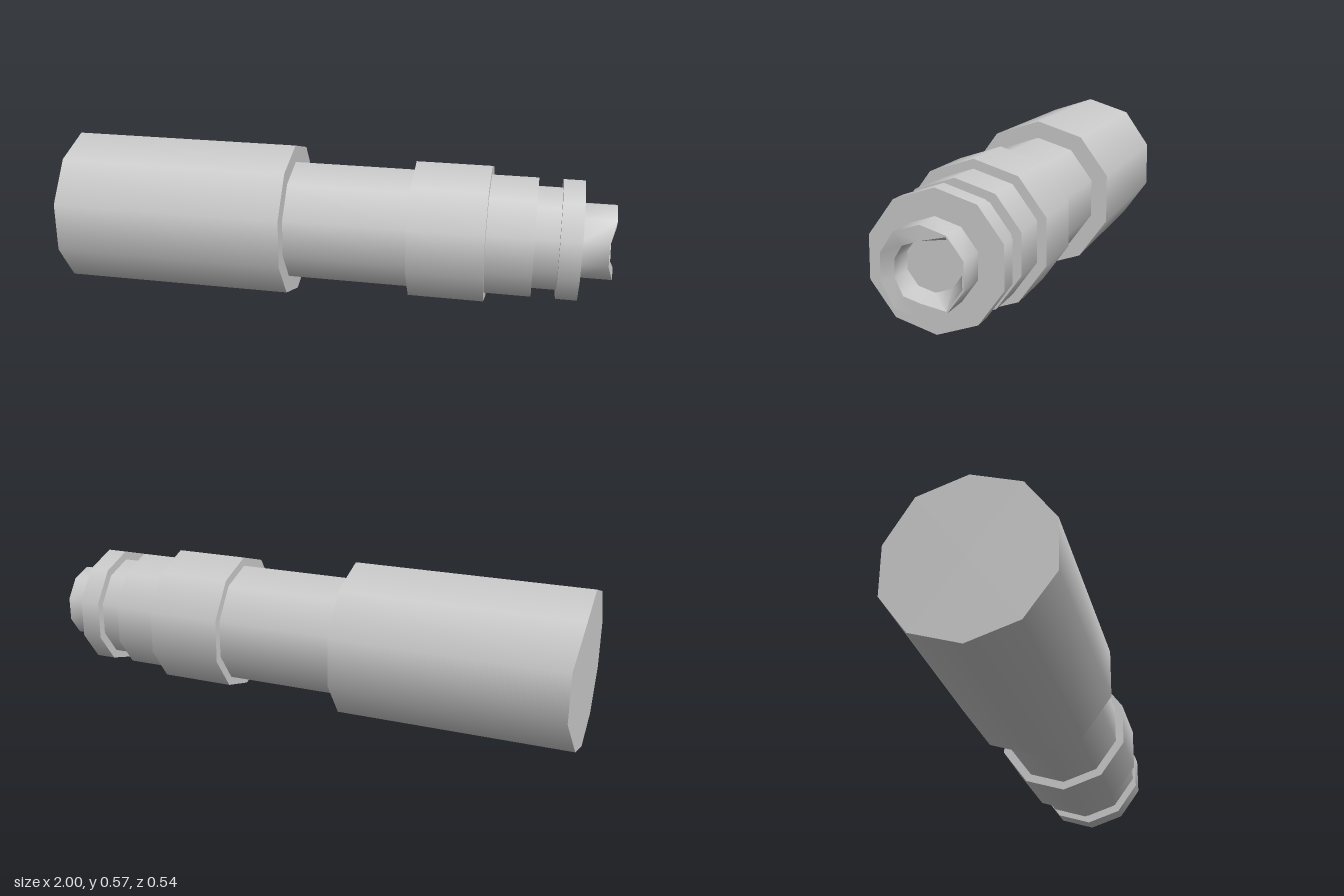
import * as THREE from 'three';
import { toCreasedNormals } from 'three/addons/utils/BufferGeometryUtils.js';

const SIDES = 10;
const AXIS_Y = 0.287;

export function createModel() {
  const model = new THREE.Group();
  const body = new THREE.Group();
  body.position.y = AXIS_Y;
  model.add(body);
  const material = new THREE.MeshStandardMaterial({ color: 0xcccccc });

  const add = (name, geometry) => {
    const mesh = new THREE.Mesh(geometry, material);
    mesh.name = name;
    body.add(mesh);
    return mesh;
  };

  // Ten-sided cylinder along x, with a corner pointing straight up
  const section = (x0, x1, radius) => {
    const g = new THREE.CylinderGeometry(radius, radius, x1 - x0, SIDES, 1, false, Math.PI / 2);
    g.rotateZ(-Math.PI / 2);
    g.translate((x0 + x1) / 2, 0, 0);
    return g;
  };

  // Thick handle; the rear edge of its end cap is slightly set in
  const handle = section(-1, -0.157, 0.285);
  const p = handle.attributes.position;
  for (let i = 0; i < p.count; i++) {
    if (p.getX(i) < -0.99 && p.getZ(i) < -0.25) p.setX(i, -0.98);
  }
  add('handle', handle);

  // Stepped barrel
  [
    ['neck', -0.157, 0.29, 0.222],
    ['wideCollar', 0.29, 0.56, 0.254],
    ['frontSleeve', 0.56, 0.725, 0.222],
    ['groove', 0.725, 0.81, 0.19],
    ['flange', 0.81, 0.885, 0.222],
  ].forEach(([name, x0, x1, r]) => add(name, section(x0, x1, r)));

  add('nozzle', nozzleGeometry());
  return model;
}

// Hollow nozzle: outer wall, rim, bore flared towards the rear, and bore floor
function nozzleGeometry() {
  const R = 0.138, BORE = 0.091, FLOOR_X = 0.89;
  const ring = (shape) => Array.from({ length: SIDES }, (_, i) => {
    const a = (i / SIDES) * Math.PI * 2;
    const s = Math.sin(a);
    const [x, r] = shape(s);
    return [x, Math.cos(a) * r, s * r];
  });
  const rimX = (s) => (s > 0.9 ? 0.98 : 1);
  const rings = [
    ring(() => [0.88, R]),
    ring((s) => [rimX(s), R]),
    ring((s) => [rimX(s), s < -0.3 ? 0.133 : BORE]),
    ring(() => [FLOOR_X, BORE]),
    ring(() => [FLOOR_X, 0]),
  ];
  const pos = [];
  for (let k = 0; k < rings.length - 1; k++) {
    for (let i = 0; i < SIDES; i++) {
      const j = (i + 1) % SIDES;
      const a = rings[k][i], b = rings[k][j], c = rings[k + 1][j], d = rings[k + 1][i];
      pos.push(...a, ...b, ...d);
      if (k < rings.length - 2) pos.push(...b, ...c, ...d);
    }
  }
  const g = new THREE.BufferGeometry();
  g.setAttribute('position', new THREE.Float32BufferAttribute(pos, 3));
  return toCreasedNormals(g, 0.8);
}
